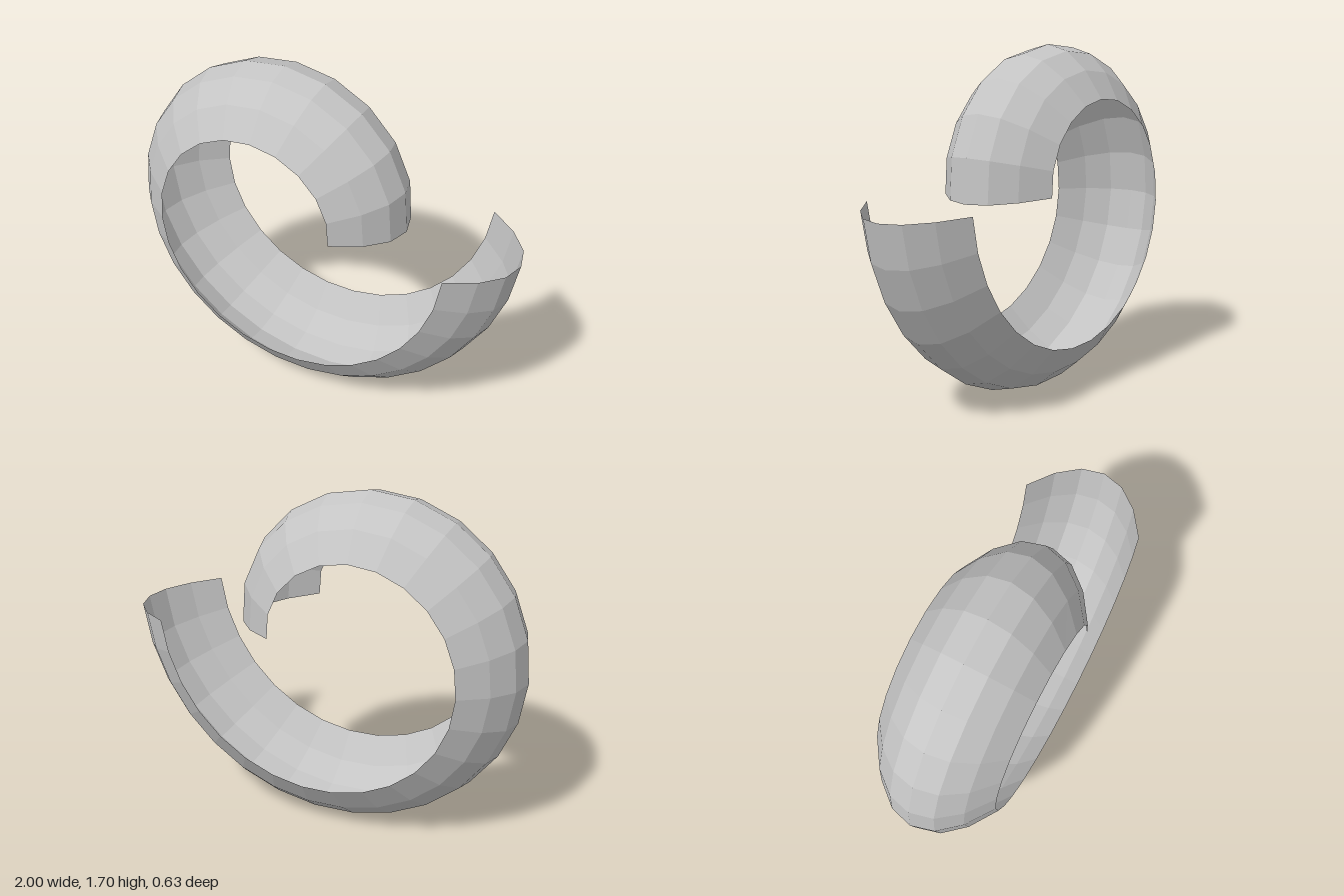
import * as THREE from 'three';

// Half cross-section of the band: [distance from mid-plane, depth towards the spiral centre]
const HALF = [[0, 0], [0.113, 0.03], [0.22, 0.12], [0.313, 0.255]];
const PROFILE = [...HALF.slice(1).reverse().map(([z, d]) => [-z, d]), ...HALF];

const STEPS = 25;                    // equal-length segments along the spiral
const CENTRE = [-0.165, 1.0];
const R_START = 1.165, R_END = 0.597; // one clockwise turn of a logarithmic spiral
const K = Math.log(R_START / R_END) / (2 * Math.PI);

// Sweep the curved cross-section along the shrinking spiral
function spiralBandGeometry() {
  const pos = [], index = [], n = PROFILE.length;
  const tilt = Math.atan(K);
  for (let i = 0; i <= STEPS; i++) {
    const r = R_START + (R_END - R_START) * i / STEPS;
    const a = Math.log(R_START / r) / K;
    const x = CENTRE[0] + r * Math.cos(a), y = CENTRE[1] - r * Math.sin(a);
    const inX = -Math.cos(a + tilt), inY = Math.sin(a + tilt); // inward normal
    for (const [z, d] of PROFILE) pos.push(x + inX * d, y + inY * d, z);
  }
  for (let i = 0; i < STEPS; i++) {
    for (let j = 0; j < n - 1; j++) {
      const a = i * n + j, b = a + 1, c = a + n, d = c + 1;
      index.push(a, c, b, b, c, d);
    }
  }
  const indexed = new THREE.BufferGeometry();
  indexed.setAttribute('position', new THREE.Float32BufferAttribute(pos, 3));
  indexed.setIndex(index);
  const geometry = indexed.toNonIndexed();
  geometry.computeVertexNormals();
  return geometry;
}

export function createModel() {
  const group = new THREE.Group();
  group.name = 'spiralRing';
  const grey = new THREE.MeshStandardMaterial({ color: 0xc4c4c4, flatShading: true, side: THREE.DoubleSide });
  grey.name = 'light grey';
  // Open, thin band curling inwards
  const band = new THREE.Mesh(spiralBandGeometry(), grey);
  band.name = 'spiralBand';
  group.add(band);
  return group;
}
